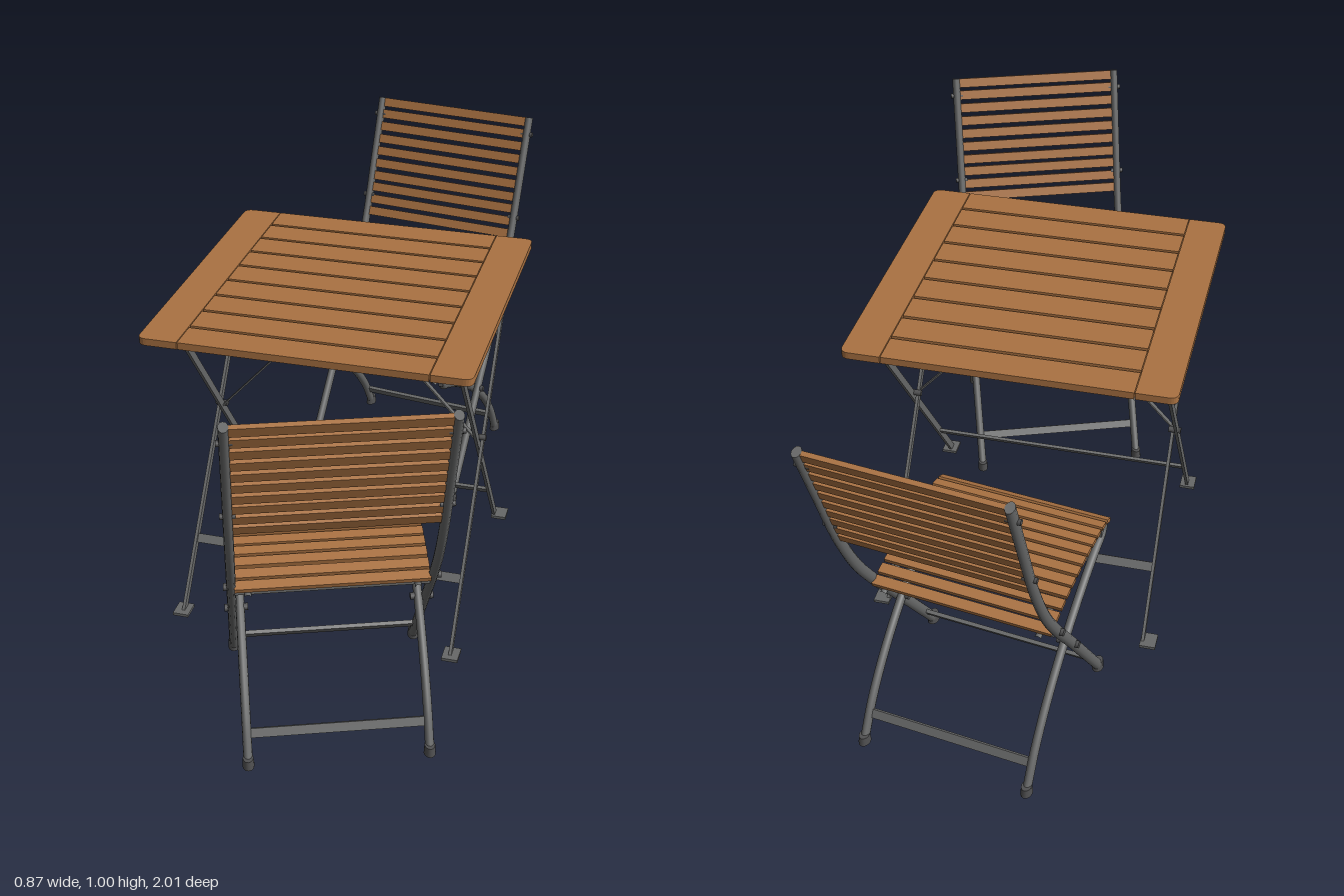
import * as THREE from 'three';

const material = (name, color) => {
  const m = new THREE.MeshStandardMaterial({ color });
  m.name = name;
  return m;
};
const wood = material('oiled wood', 0xaa7242);
const steel = material('grey steel', 0x676868);
const dark = material('dark fittings', 0x505051);

const V = (x, y, z) => new THREE.Vector3(x, y, z);

function add(parent, name, geometry, mat, x = 0, y = 0, z = 0, rx = 0) {
  const mesh = new THREE.Mesh(geometry, mat);
  mesh.name = name;
  mesh.position.set(x, y, z);
  mesh.rotation.x = rx;
  parent.add(mesh);
  return mesh;
}

const box = (w, h, d) => new THREE.BoxGeometry(w, h, d);

// Flat bar running from a to b
function bar(parent, name, a, b, w, h) {
  const mesh = new THREE.Mesh(box(w, h, a.distanceTo(b)), steel);
  mesh.name = name;
  mesh.position.copy(a).add(b).multiplyScalar(0.5);
  mesh.lookAt(b);
  parent.add(mesh);
}

// Bolt lying along x
function bolt(parent, x, y, z, r, length) {
  const g = new THREE.CylinderGeometry(r, r, length, 10);
  g.rotateZ(Math.PI / 2);
  add(parent, 'bolt', g, dark, x, y, z);
}

// Smooth curve in the side plane from [z, y] pairs
const sideCurve = (pairs) => new THREE.CatmullRomCurve3(pairs.map(([z, y]) => V(0, y, z)));

// Oval tube, narrower across than deep
const ovalTube = (curve, r, squash) =>
  new THREE.TubeGeometry(curve, 40, r, 12).scale(squash, 1, 1);

// Curve parameter at which the given axis reaches a value
function paramAt(curve, axis, value) {
  let best = 0, error = Infinity;
  for (let i = 0; i <= 400; i++) {
    const e = Math.abs(curve.getPoint(i / 400)[axis] - value);
    if (e < error) { error = e; best = i / 400; }
  }
  return best;
}

const POST = [[-0.372, 0.996], [-0.31, 0.83], [-0.247, 0.665], [-0.18, 0.53],
  [-0.11, 0.425], [0, 0.28], [0.2, 0.012]];
const ARM = [[-0.243, 0.012], [-0.19, 0.1], [-0.11, 0.19], [0, 0.28],
  [0.13, 0.36], [0.215, 0.4], [0.25, 0.415], [0.262, 0.445]];
const SEAT = [[-0.13, 0.417], [-0.03, 0.442], [0.08, 0.456], [0.18, 0.459],
  [0.25, 0.451], [0.28, 0.438]];

function createChair(name) {
  const chair = new THREE.Group();
  chair.name = name;
  const post = sideCurve(POST), arm = sideCurve(ARM), seat = sideCurve(SEAT);
  const rail = sideCurve(SEAT.map(([z, y]) => [z, y - 0.014]));

  const postTube = ovalTube(post, 0.0145, 0.75);
  const armTube = ovalTube(arm, 0.0135, 0.8);
  const railTube = new THREE.TubeGeometry(rail, 24, 0.008, 8);
  const cap = new THREE.CircleGeometry(0.0145, 12).scale(0.75, 1, 1);
  const foot = new THREE.CylinderGeometry(0.014, 0.016, 0.024, 12).scale(0.9, 1, 1.25);

  for (const s of [-1, 1]) {
    const px = s * 0.232, ax = s * 0.213;
    // Back post that sweeps down to the front foot
    add(chair, 'backPost', postTube, steel, px);
    add(chair, 'postCap', cap, steel, px, 0.996, -0.372, -Math.PI / 2 - 0.35);
    // Curved leg from the rear foot to the seat front
    add(chair, 'curvedLeg', armTube, steel, ax);
    add(chair, 'seatBracket', box(0.012, 0.03, 0.04), steel, ax, 0.433, 0.25);
    // Feet
    add(chair, 'frontFoot', foot, dark, px, 0.016, 0.2);
    add(chair, 'rearFoot', foot, dark, ax, 0.016, -0.243);
    // Seat rail following the seat curve
    add(chair, 'seatRail', railTube, steel, s * 0.195);
    // Fixings
    bolt(chair, s * 0.222, 0.28, 0, 0.009, 0.056);
    bolt(chair, s * 0.222, 0.418, -0.105, 0.009, 0.056);
    for (const y of [0.95, 0.72]) {
      bolt(chair, px, y, post.getPoint(paramAt(post, 'y', y)).z, 0.007, 0.034);
    }
  }

  // Back slats
  for (let i = 0; i < 10; i++) {
    const t = paramAt(post, 'y', 0.674 + i * 0.0345);
    const p = post.getPoint(t), d = post.getTangent(t).negate();
    add(chair, 'backSlat', box(0.452, 0.0255, 0.012), wood, 0, p.y, p.z, Math.atan2(d.z, d.y));
  }

  // Seat slats
  for (let i = 0; i < 12; i++) {
    const t = paramAt(seat, 'z', -0.113 + i * 0.0343);
    const p = seat.getPoint(t), d = seat.getTangent(t);
    add(chair, 'seatSlat', box(0.45, 0.011, 0.027), wood, 0, p.y, p.z, -Math.atan2(d.y, d.z));
  }

  // Cross bars
  add(chair, 'seatCrossBar', box(0.45, 0.024, 0.012), steel, 0, 0.403, -0.097);
  add(chair, 'frontCrossBar', box(0.45, 0.022, 0.01), steel, 0, 0.084, 0.146, -0.6);
  add(chair, 'rearCrossBar', box(0.416, 0.022, 0.01), steel, 0, 0.072, -0.209, 0.5);
  return chair;
}

function createTable() {
  const table = new THREE.Group();
  table.name = 'table';
  const half = 0.4025, top = 0.835, thick = 0.018;

  // Slats between the end boards
  for (let i = 0; i < 9; i++) {
    add(table, 'tableSlat', box(0.604, thick, 0.081), wood, 0, top + thick / 2, (i - 4) * 0.0904);
  }

  // End board with rounded outer corners
  const r = 0.022, x0 = 0.304;
  const shape = new THREE.Shape();
  shape.moveTo(x0, -half);
  shape.lineTo(half - r, -half);
  shape.quadraticCurveTo(half, -half, half, -half + r);
  shape.lineTo(half, half - r);
  shape.quadraticCurveTo(half, half, half - r, half);
  shape.lineTo(x0, half);
  const board = new THREE.ExtrudeGeometry(shape, { depth: thick, bevelEnabled: false, curveSegments: 6 });
  board.rotateX(-Math.PI / 2);

  // Side rail with cut ends
  const railShape = new THREE.Shape([[-0.362, 0], [-0.362, -0.01], [-0.338, -0.028],
    [0.338, -0.028], [0.362, -0.01], [0.362, 0]].map(([x, y]) => new THREE.Vector2(x, y)));
  const rail = new THREE.ExtrudeGeometry(railShape, { depth: 0.02, bevelEnabled: false });
  rail.translate(0, 0, -0.01);
  rail.rotateY(Math.PI / 2);

  for (const s of [-1, 1]) {
    add(table, 'endBoard', board, wood, 0, top, 0).rotation.y = s > 0 ? 0 : Math.PI;
    add(table, 'sideRail', rail, steel, s * 0.354, top, 0);
    // Crossed legs, one outside the other
    const outer = s * 0.36, inner = s * 0.347;
    bar(table, 'outerLeg', V(outer, 0.01, 0.331), V(outer, 0.822, -0.295), 0.008, 0.02);
    bar(table, 'innerLeg', V(inner, 0.01, -0.337), V(inner, 0.822, 0.285), 0.008, 0.02);
    for (const z of [0.331, -0.337]) {
      add(table, 'tableFoot', box(0.042, 0.008, 0.05), steel, s * 0.362, 0.012, z);
    }
    // Fixings
    bolt(table, s * 0.3525, 0.46, -0.007, 0.008, 0.032);
    for (const z of [-0.29, 0.28]) bolt(table, s * 0.3525, 0.818, z, 0.008, 0.032);
    // Slanted brace from the leg crossing to the middle bar
    bar(table, 'brace', V(s * 0.345, 0.46, 0.005), V(s * 0.006, 0.83, 0.005), 0.014, 0.004);
  }

  // Middle bar and leg cross bars
  add(table, 'middleBar', box(0.024, 0.01, 0.62), steel, 0, top - 0.005, 0);
  add(table, 'frontCrossBar', box(0.72, 0.024, 0.008), steel, 0, 0.164, 0.212, -0.66);
  add(table, 'rearCrossBar', box(0.7, 0.024, 0.008), steel, 0, 0.164, -0.219, 0.66);

  table.position.set(-0.0325, 0, 0.0225);
  return table;
}

export function createModel() {
  const model = new THREE.Group();
  model.name = 'foldingTableAndChairs';
  model.add(createTable());

  const frontChair = createChair('frontChair');
  frontChair.position.set(0.069, 0, 0.559);
  frontChair.rotation.y = Math.PI + 0.366;
  model.add(frontChair);

  const rearChair = createChair('rearChair');
  rearChair.position.set(-0.024, 0, -0.592);
  rearChair.rotation.y = -0.145;
  model.add(rearChair);
  return model;
}
